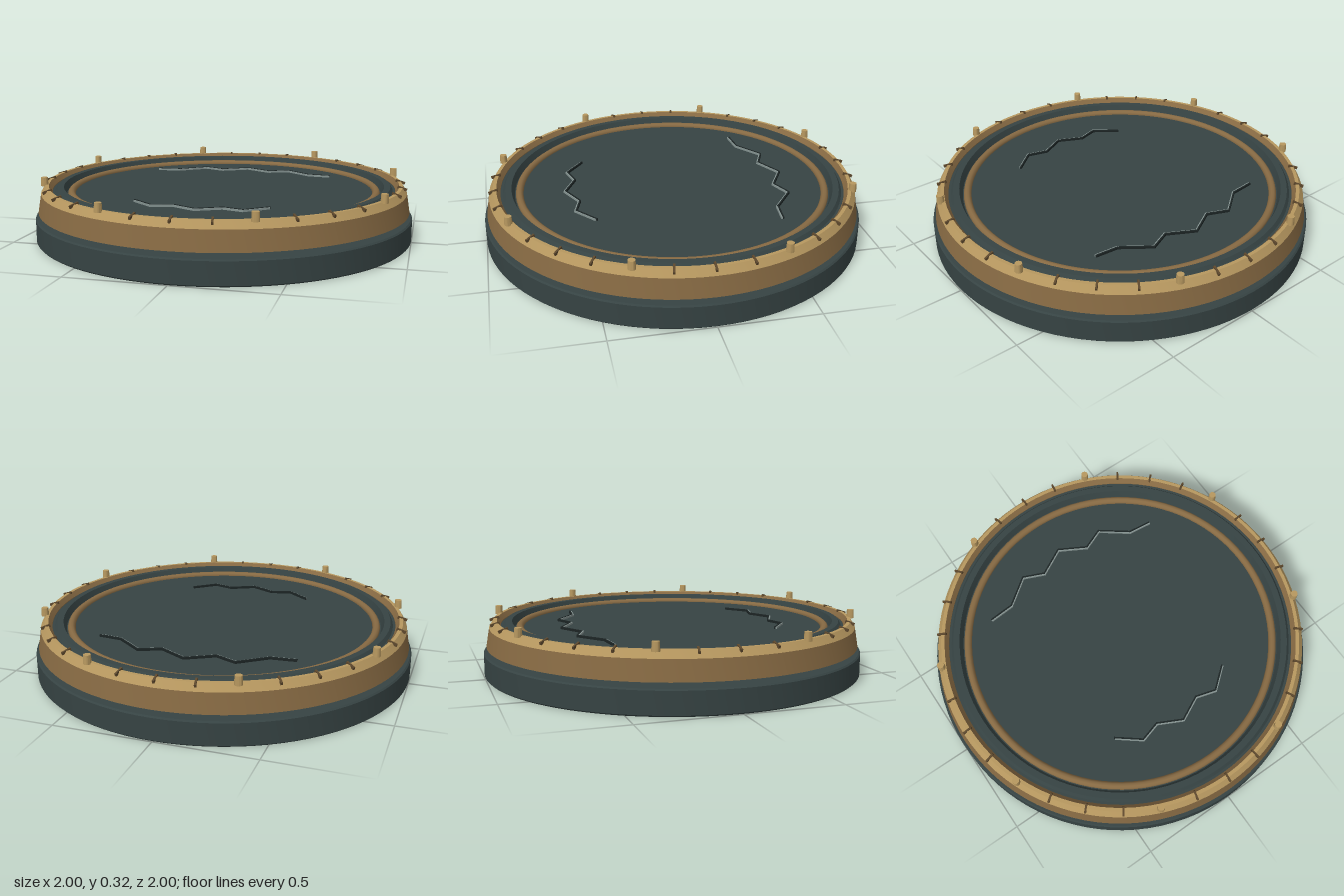
import * as THREE from 'three';
import { toCreasedNormals } from 'three/addons/utils/BufferGeometryUtils.js';

const mat = (name, color) => new THREE.MeshStandardMaterial({ name, color });

export function createModel() {
  const root = new THREE.Group();
  const slate = mat('slate', 0x364343);
  const bronze = mat('bronze', 0x876a43);
  const brass = mat('brass', 0xb6975f);
  const darkBronze = mat('dark bronze', 0x5c472c);
  const crackDark = mat('crack shadow', 0x1c2424);
  const crackLight = mat('crack edge', 0x83918f);

  const add = (name, geometry, material, parent = root) => {
    const mesh = new THREE.Mesh(geometry, material);
    mesh.name = name;
    parent.add(mesh);
    return mesh;
  };
  // Turned part from [radius, height] pairs, running up the outside
  const turned = (name, profile, material) => {
    const points = profile.map(([r, y]) => new THREE.Vector2(r, y));
    return add(name, toCreasedNormals(new THREE.LatheGeometry(points, 96), 0.3), material);
  };

  // Base disc with a fine bevel
  turned('base', [[0, 0], [0.993, 0], [1, 0.007], [1, 0.118], [0.993, 0.125], [0, 0.125]], slate);

  // Raised tray with a ridge around its floor
  turned('tray', [[0, 0.152], [0.91, 0.152], [0.91, 0.258], [0.895, 0.258], [0.882, 0.277],
    [0.85, 0.277], [0.835, 0.24], [0, 0.24]], slate);

  // Outer rim: dark wall, bright sloping top
  turned('rimWall', [[0.905, 0.15], [0.985, 0.15], [0.968, 0.25]], bronze);
  turned('rimTop', [[0.968, 0.25], [0.945, 0.287], [0.927, 0.287]], brass);
  turned('rimInnerSlope', [[0.927, 0.287], [0.908, 0.262], [0.905, 0.15]], bronze);

  // Inner trim ring
  const trim = add('innerTrim', new THREE.TorusGeometry(0.81, 0.02, 10, 96), bronze);
  trim.rotation.x = Math.PI / 2;
  trim.position.y = 0.24;

  // Rivets and notch marks share 32 places around the rim
  const rivetGeo = toCreasedNormals(new THREE.CylinderGeometry(0.018, 0.02, 0.045, 12), 0.6);
  const markGeo = new THREE.BoxGeometry(0.05, 0.014, 0.01);
  for (let i = 0; i < 32; i++) {
    const spoke = new THREE.Group();
    spoke.rotation.y = (i / 32) * Math.PI * 2;
    const isRivet = i % 4 === 2;
    spoke.name = isRivet ? 'rivetSpoke' : 'markSpoke';
    root.add(spoke);
    if (isRivet) {
      add('rivet', rivetGeo, brass, spoke).position.set(0.95, 0.302, 0);
    } else {
      const mark = add('rimMark', markGeo, darkBronze, spoke);
      mark.position.set(0.943, 0.283, 0);
      mark.rotation.z = -0.3;
    }
  }

  // Cracks: a dark strip with a light strip along its front edge
  const strip = (name, points, material, offset, height) => {
    for (let i = 0; i < points.length - 1; i++) {
      const [x0, z0] = points[i], [x1, z1] = points[i + 1];
      const length = Math.hypot(x1 - x0, z1 - z0);
      const seg = add(name, new THREE.BoxGeometry(length + 0.005, height, 0.008), material);
      seg.position.set((x0 + x1) / 2, 0.238 + height / 2, (z0 + z1) / 2 + offset);
      seg.rotation.y = -Math.atan2(z1 - z0, x1 - x0);
    }
  };
  const backCrack = [[-0.52, -0.455], [-0.39, -0.465], [-0.25, -0.57], [-0.14, -0.523], [0, -0.6],
    [0.14, -0.523], [0.25, -0.57], [0.39, -0.465], [0.51, -0.453]];
  const frontCrack = [[-0.345, 0.453], [-0.23, 0.543], [-0.125, 0.513], [0, 0.575],
    [0.125, 0.513], [0.23, 0.543], [0.34, 0.453]];
  for (const [name, points] of [['backCrack', backCrack], ['frontCrack', frontCrack]]) {
    strip(name + 'Shadow', points, crackDark, -0.004, 0.014);
    strip(name + 'Edge', points, crackLight, 0.003, 0.012);
  }
  return root;
}
